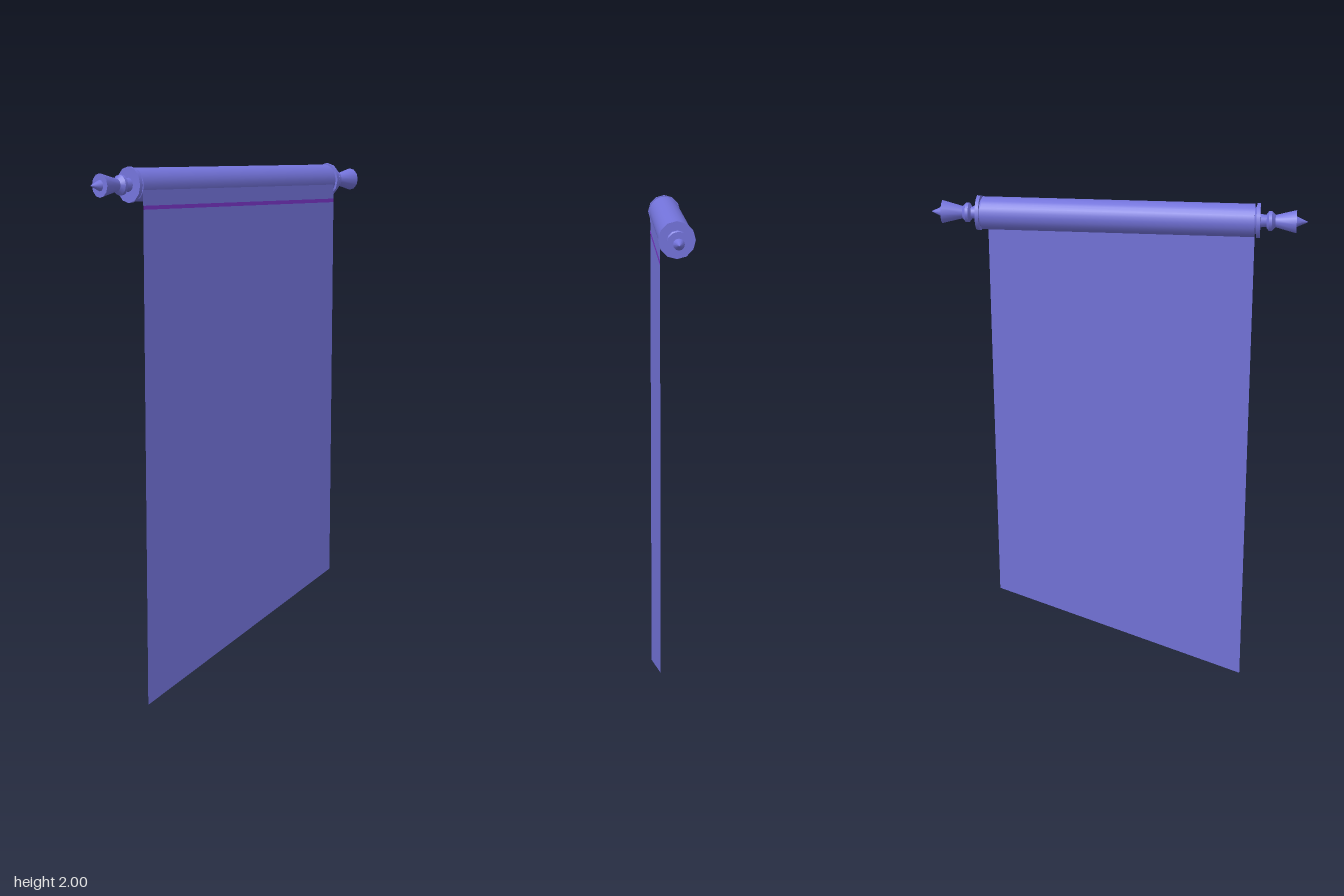
import * as THREE from 'three';

const AXIS_Y = 1.935;
const ROLLER_R = 0.06;

const fabricBlue = new THREE.MeshStandardMaterial({ color: 0x7474dc });
const clothBlue = new THREE.MeshStandardMaterial({ color: 0x7474dc, side: THREE.DoubleSide });
const seamPurple = new THREE.MeshStandardMaterial({ color: 0x7a35c8, side: THREE.DoubleSide });
fabricBlue.name = 'rollerBlue';
clothBlue.name = 'clothBlue';
seamPurple.name = 'seamPurple';

// Turned section along x, from x0 (radius r0) to x1 (radius r1)
function turned(name, x0, x1, r0, r1, sides = 12) {
  const geo = new THREE.CylinderGeometry(r1, r0, x1 - x0, sides);
  geo.rotateZ(-Math.PI / 2);
  const mesh = new THREE.Mesh(geo, fabricBlue);
  mesh.name = name;
  mesh.position.x = (x0 + x1) / 2;
  return mesh;
}

// Turned end piece pointing along +x
function makeFinial(name) {
  const g = new THREE.Group();
  g.name = name;
  g.add(
    turned('rollerShoulder', 0.495, 0.507, 0.053, 0.05),
    turned('flange', 0.507, 0.52, 0.065, 0.065),
    turned('neck', 0.52, 0.547, 0.025, 0.022),
    turned('beadInner', 0.543, 0.551, 0.026, 0.037),
    turned('beadMiddle', 0.551, 0.562, 0.037, 0.037),
    turned('beadOuter', 0.562, 0.575, 0.037, 0.023),
    turned('flare', 0.575, 0.651, 0.023, 0.043),
    turned('tip', 0.651, 0.692, 0.02, 0.001)
  );
  return g;
}

// Flat panel from corner points at a given depth
function panel(name, points, z, material) {
  const shape = new THREE.Shape(points.map(([x, y]) => new THREE.Vector2(x, y)));
  const mesh = new THREE.Mesh(new THREE.ShapeGeometry(shape), material);
  mesh.name = name;
  mesh.position.z = z;
  return mesh;
}

export function createModel() {
  const model = new THREE.Group();
  model.name = 'hangingBanner';

  // Roller with a finial at each end
  const rod = new THREE.Group();
  rod.name = 'rod';
  rod.position.y = AXIS_Y;
  rod.add(turned('roller', -0.5, 0.5, ROLLER_R, ROLLER_R, 24));
  rod.add(makeFinial('leftFinial'));
  const rightFinial = makeFinial('rightFinial');
  rightFinial.rotation.y = Math.PI;
  rod.add(rightFinial);
  model.add(rod);

  // Cloth with slanted lower edge, hanging off the front of the roller
  const clothZ = ROLLER_R - 0.003;
  model.add(panel('cloth', [[-0.5, 0], [0.493, 0.34], [0.493, AXIS_Y], [-0.5, AXIS_Y]], clothZ, clothBlue));

  // Narrow seam below the roller
  model.add(panel('seam', [[-0.5, 1.848], [0.493, 1.848], [0.493, 1.862], [-0.5, 1.862]], clothZ + 0.001, seamPurple));

  return model;
}
